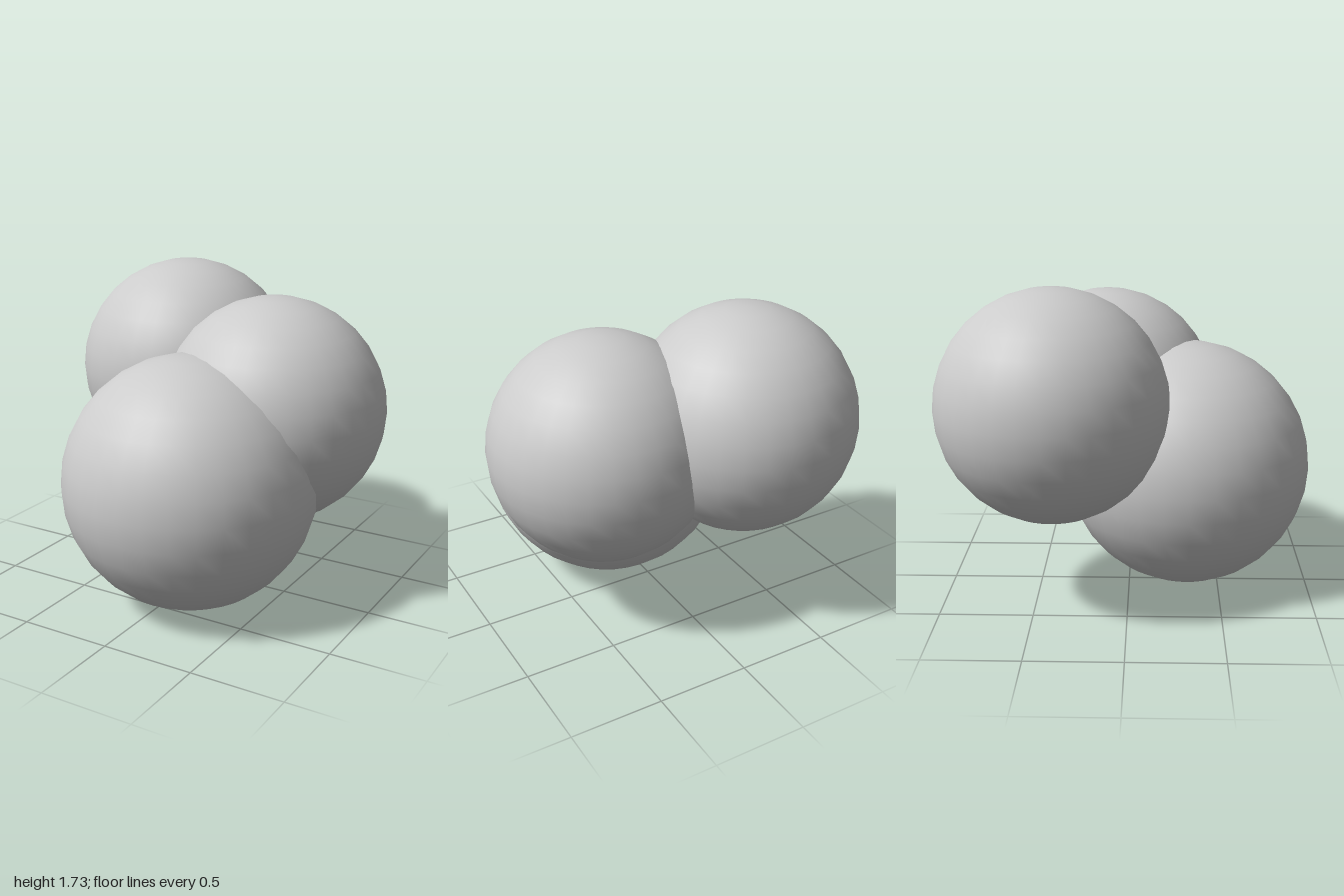
import * as THREE from 'three';

export function createModel() {
  const model = new THREE.Group();
  model.name = 'ballCluster';
  const material = new THREE.MeshStandardMaterial({ color: 0xcccccc });

  // Three overlapping balls: name, radius, centre
  const balls = [
    ['frontBall', 0.68, [0.09, 0.685, 0.32]],
    ['backRightBall', 0.61, [-0.35, 1.12, -0.39]],
    ['leftBall', 0.61, [0.345, 1.01, -0.13]],
  ];
  for (const [name, radius, centre] of balls) {
    const ball = new THREE.Mesh(new THREE.SphereGeometry(radius, 32, 16), material);
    ball.name = name;
    ball.position.set(...centre);
    model.add(ball);
  }
  return model;
}
